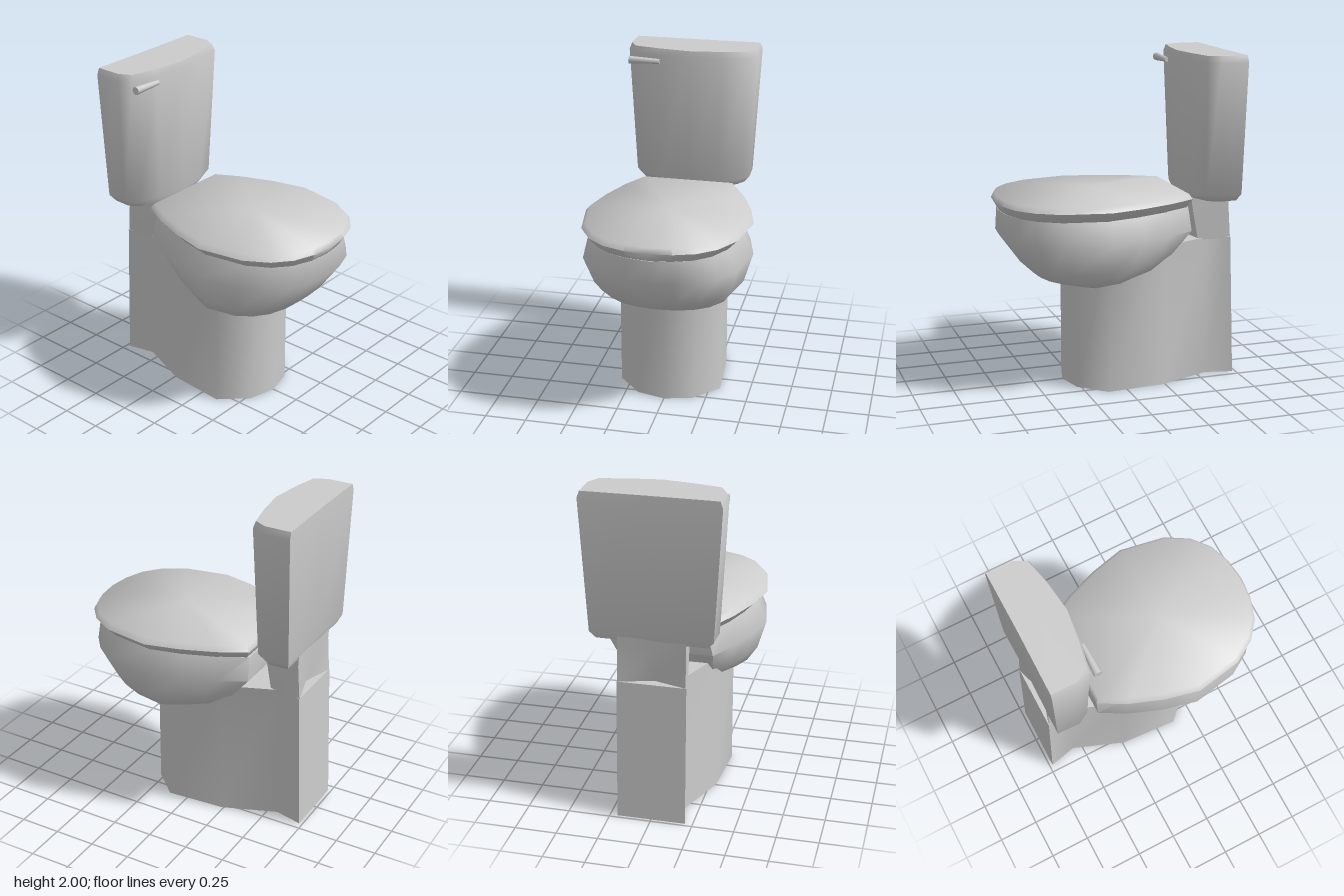
import * as THREE from 'three';
import { toCreasedNormals } from 'three/addons/utils/BufferGeometryUtils.js';

const material = new THREE.MeshStandardMaterial({ color: 0xcccccc });

// Closed ring of [x, z] from its +x half, listed from back to front
function mirrorRing(half) {
  const other = half.filter(([x]) => x > 0).reverse().map(([x, z]) => [-x, z]);
  return [...half, ...other];
}

// Skin over rings of [x, y, z], closed by a fan at each end
function loft(name, rings, bottom, top, crease = 0.9) {
  const n = rings[0].length;
  const points = [...rings.flat(), bottom, top];
  const b = rings.length * n, t = b + 1, last = b - n;
  const index = [];
  for (let j = 0; j < n; j++) {
    const k = (j + 1) % n;
    for (let r = 0; r < rings.length - 1; r++) {
      const lo = r * n, hi = lo + n;
      index.push(lo + j, hi + j, lo + k, lo + k, hi + j, hi + k);
    }
    index.push(b, j, k, t, last + k, last + j);
  }
  const geometry = new THREE.BufferGeometry();
  geometry.setAttribute('position', new THREE.Float32BufferAttribute(points.flat(), 3));
  geometry.setIndex(index);
  const mesh = new THREE.Mesh(toCreasedNormals(geometry, crease), material);
  mesh.name = name;
  return mesh;
}

const at = (half, y) => mirrorRing(half).map(([x, z]) => [x, y, z]);

// Seat outline, shared by bowl and lid
const seat = mirrorRing([
  [0.295, -0.415], [0.385, -0.25], [0.46, -0.05], [0.51, 0.16], [0.46, 0.44],
  [0.375, 0.58], [0.27, 0.665], [0.14, 0.71], [0, 0.725],
]);

// Seat outline fitted to a half width and a depth range; lift raises the rear
function seatRing([y, w, back, front, lift = 0]) {
  return seat.map(([x, z]) => {
    const pz = back + (front - back) * (z + 0.415) / 1.14;
    return [x * w / 0.51, y + lift * Math.max(0, (0.15 - pz) / 0.4), pz];
  });
}

export function createModel() {
  const model = new THREE.Group();

  // Bowl and lid
  model.add(loft('bowl', [
    [0.64, 0.30, -0.23, 0.32, 0.09],
    [0.69, 0.40, -0.25, 0.49, 0.05],
    [0.77, 0.457, -0.27, 0.575, 0.01],
    [0.95, 0.51, -0.41, 0.705],
    [1.09, 0.445, -0.40, 0.7],
  ].map(seatRing), [0, 0.645, 0.1], [0, 1.09, 0.1], 1.1));
  model.add(loft('lid', [
    [1.08, 0.445, -0.38, 0.69],
    [1.145, 0.51, -0.415, 0.728],
    [1.175, 0.485, -0.395, 0.71],
  ].map(seatRing), [0, 1.08, 0.1], [0, 1.205, 0.16], 1.1));

  // Pedestal, rounded in front with a pinched waist behind
  const pedestal = (back) => [
    [0.205, back], [0.165, -0.56], [0.29, -0.24], [0.315, 0.12], [0.17, 0.275], [0, 0.318],
  ];
  model.add(loft('pedestal', [
    at(pedestal(-0.73), 0), at(pedestal(-0.70), 0.87),
  ], [0, 0, -0.2], [0, 0.87, -0.2]));

  // Neck carrying the tank, with a hollow low in its back
  const neck = (hollow, back, corner, front) => [
    [0, hollow], [0.2, back], [0.17, corner], [0, front],
  ];
  model.add(loft('neck', [
    at(neck(-0.64, -0.70, -0.50, -0.47), 0.86),
    at(neck(-0.68, -0.685, -0.46, -0.425), 1.08),
    at(neck(-0.69, -0.69, -0.46, -0.42), 1.2),
  ], [0, 0.86, -0.58], [0, 1.2, -0.58]));

  // Tank, bowed in front and narrower at the bottom
  model.add(loft('tank', [
    at([[0, -0.68], [0.325, -0.68], [0.33, -0.57], [0.29, -0.51], [0.17, -0.46], [0, -0.43]], 1.125),
    at([[0, -0.695], [0.36, -0.70], [0.365, -0.56], [0.325, -0.49], [0.18, -0.44], [0, -0.412]], 1.17),
    at([[0, -0.705], [0.405, -0.71], [0.405, -0.54], [0.365, -0.465], [0.2, -0.43], [0, -0.408]], 1.96),
    at([[0, -0.705], [0.39, -0.708], [0.39, -0.55], [0.35, -0.475], [0.19, -0.44], [0, -0.415]], 2),
  ], [0, 1.125, -0.58], [0, 2, -0.58], 1.1));

  // Flush lever, thicker toward its free end
  const lever = new THREE.CylinderGeometry(0.015, 0.025, 0.19, 8);
  lever.rotateZ(-Math.PI / 2);
  const handle = new THREE.Mesh(toCreasedNormals(lever, 0.9), material);
  handle.name = 'flushHandle';
  handle.position.set(-0.285, 1.922, -0.425);
  model.add(handle);

  return model;
}
